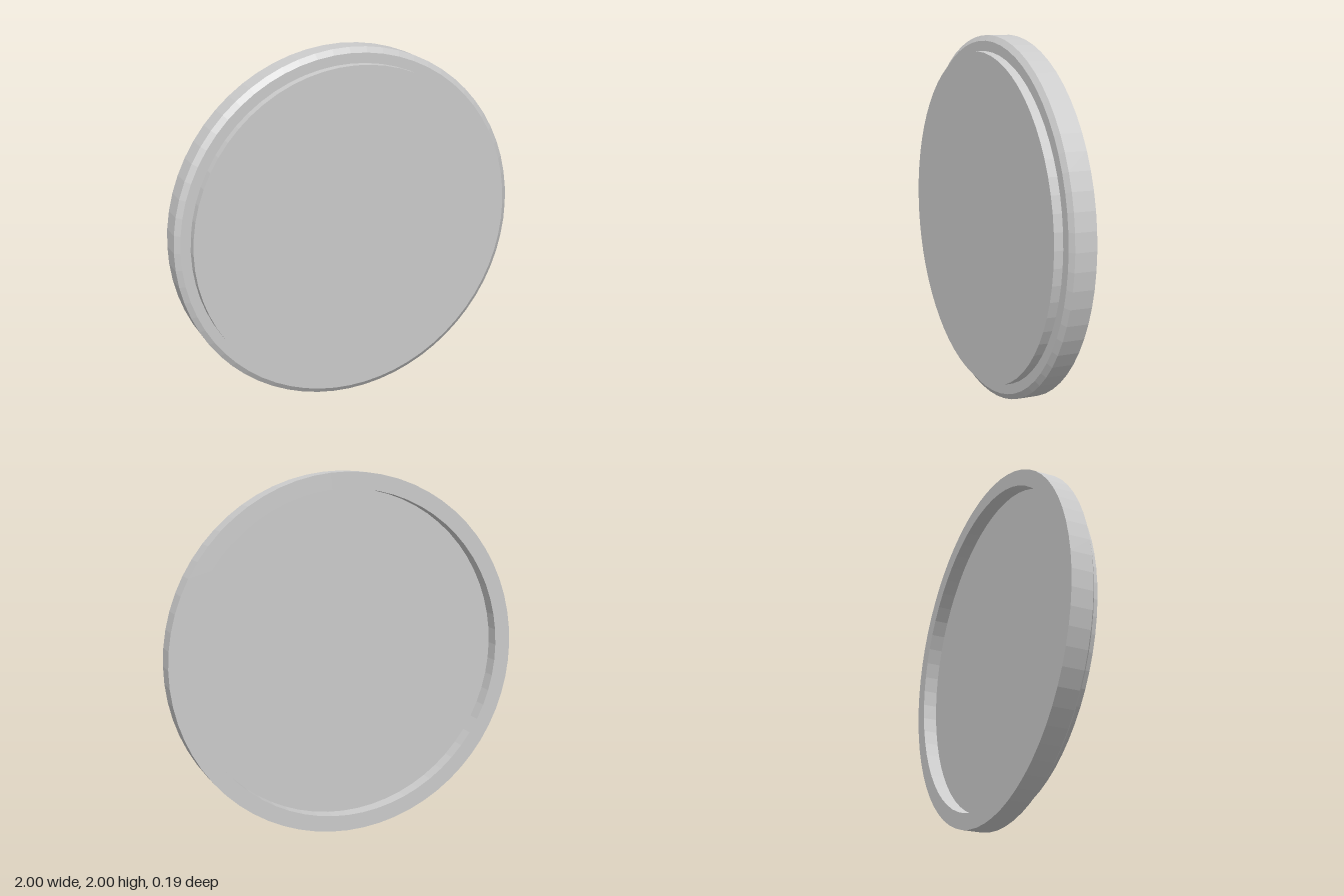
import * as THREE from 'three';

const SEGMENTS = 64;

export function createModel() {
  const group = new THREE.Group();
  group.name = 'roundLid';

  // Closed cross-section [radius, depth], from the centre of the back recess to the centre of the front
  const profile = [
    [0, -0.015], [0.91, -0.015],   // recess floor
    [0.91, -0.095], [1, -0.095],   // recess wall and back rim
    [1, 0.025], [0.97, 0.045],     // outer wall and chamfer
    [0.915, 0.045], [0.915, 0.095], // step and raised disc wall
    [0, 0.095],                    // front face
  ].map(([r, d]) => new THREE.Vector2(r, d));

  // Turn the lathe axis from y to z so the raised disc faces the front
  const geometry = new THREE.LatheGeometry(profile, SEGMENTS);
  geometry.rotateX(Math.PI / 2);
  geometry.translate(0, 1, 0);

  const lid = new THREE.Mesh(
    geometry,
    new THREE.MeshStandardMaterial({ color: 0xcccccc, flatShading: true })
  );
  lid.name = 'lid';
  group.add(lid);
  return group;
}
